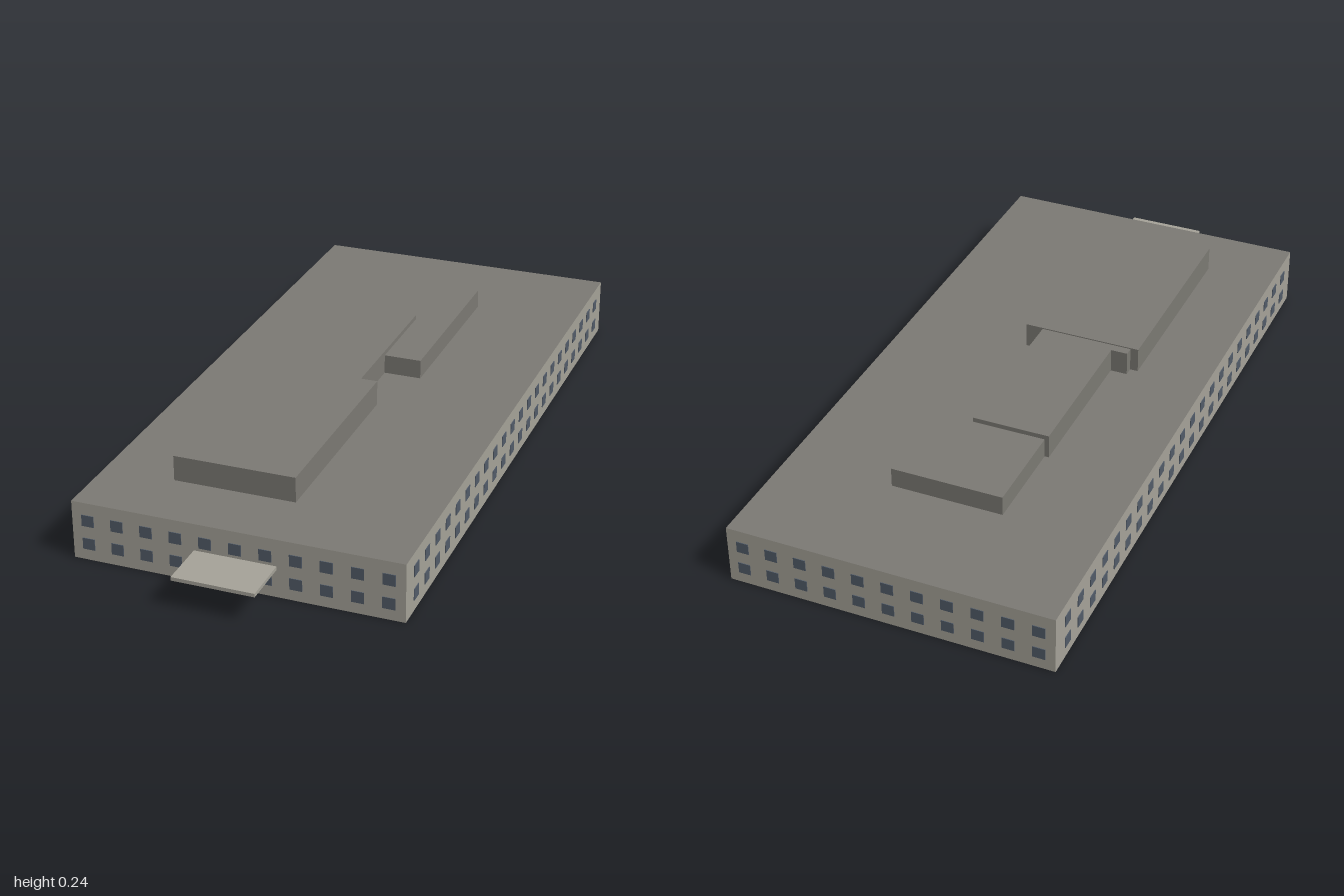
import * as THREE from 'three';

const W = 0.904, H = 0.165, ZB = -1, ZF = 0.862;
const L = ZF - ZB, ZC = (ZF + ZB) / 2;

const material = (name, color, side = THREE.FrontSide) => {
  const m = new THREE.MeshStandardMaterial({ color, side });
  m.name = name;
  return m;
};

export function createModel() {
  const model = new THREE.Group();
  model.name = 'building';
  const wallMat = material('wall stone', 0xa6a399, THREE.DoubleSide);
  const roofMat = material('roof grey', 0x7c7a74, THREE.DoubleSide);
  const glassMat = material('window glass', 0x525c69);

  const add = (parent, name, geometry, mat, x, y, z) => {
    const mesh = new THREE.Mesh(geometry, mat);
    mesh.name = name;
    mesh.position.set(x, y, z);
    parent.add(mesh);
    return mesh;
  };
  // Box given by its limits on each axis
  const block = (name, mat, [x0, x1], [y0, y1], [z0, z1]) =>
    add(model, name, new THREE.BoxGeometry(x1 - x0, y1 - y0, z1 - z0), mat,
      (x0 + x1) / 2, (y0 + y1) / 2, (z0 + z1) / 2);

  // Thin facades, each with two rows of windows; the shell is open underneath
  const pane = new THREE.BoxGeometry(0.034, 0.032, 0.003);
  const facade = (name, width, count, x, z, turn) => {
    const side = new THREE.Group();
    side.name = name;
    side.position.set(x, 0, z);
    side.rotation.y = turn;
    add(side, name + 'Wall', new THREE.PlaneGeometry(width, H), wallMat, 0, H / 2, 0);
    for (const y of [0.047, 0.114])
      for (let i = 0; i < count; i++)
        add(side, 'window', pane, glassMat, (i - (count - 1) / 2) * 0.0816, y, 0.0006);
    model.add(side);
  };
  facade('front', W, 11, 0, ZF, 0);
  facade('back', W, 11, 0, ZB, Math.PI);
  facade('leftSide', L, 22, W / 2, ZC, Math.PI / 2);
  facade('rightSide', L, 22, -W / 2, ZC, -Math.PI / 2);

  // Flat roof
  add(model, 'roof', new THREE.PlaneGeometry(W, L), roofMat, 0, H, ZC).rotation.x = -Math.PI / 2;

  // Stepped rooftop storeys
  block('frontPenthouse', roofMat, [-0.253, 0.087], [H, 0.236], [0.068, 0.67]);
  block('middlePenthouse', roofMat, [-0.182, 0.037], [H, 0.233], [-0.405, 0.068]);
  block('penthouseStep', roofMat, [-0.23, -0.182], [H, 0.233], [0.042, 0.068]);
  block('backPenthouse', roofMat, [-0.17, 0.145], [H, 0.22], [-0.678, -0.132]);

  // Entrance doors and canopy
  block('entranceDoors', glassMat, [-0.068, 0.068], [0.01, 0.076], [ZF - 0.001, ZF + 0.004]);
  block('entranceCanopy', wallMat, [-0.112, 0.112], [0.079, 0.089], [ZF, 1]);

  return model;
}
